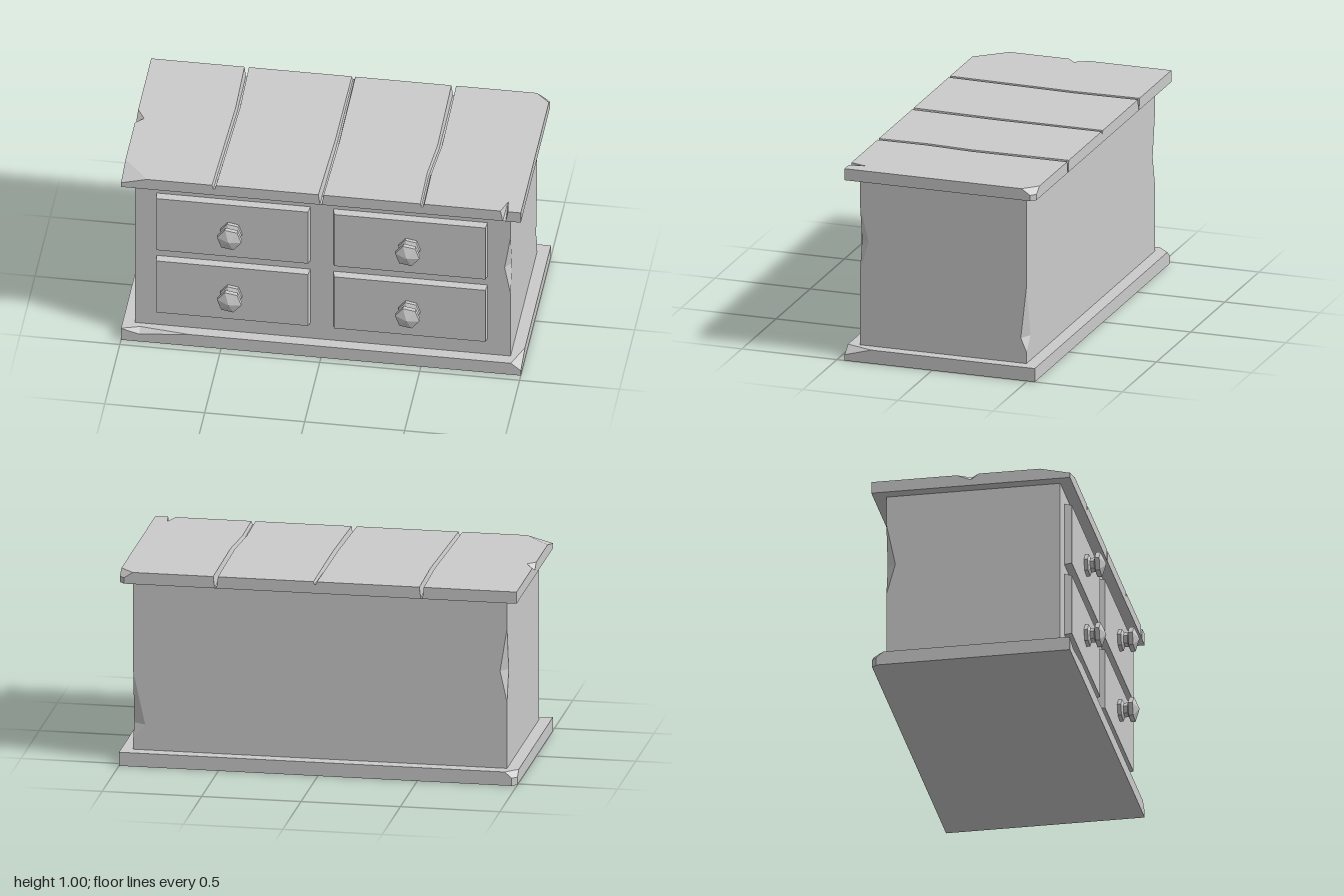
import * as THREE from 'three';

const material = new THREE.MeshStandardMaterial({ color: 0xcccccc, flatShading: true });
const V = (x, y, z) => new THREE.Vector3(x, y, z);

// Piecewise linear lookup in [[t, value], ...]; 0 outside the table unless hold is set
function key(table, t, hold = false) {
  const last = table.length - 1;
  if (t <= table[0][0]) return hold || t === table[0][0] ? table[0][1] : 0;
  if (t >= table[last][0]) return hold || t === table[last][0] ? table[last][1] : 0;
  const i = table.findIndex((k) => k[0] >= t);
  const [t0, a] = table[i - 1], [t1, b] = table[i];
  return a + (b - a) * (t - t0) / (t1 - t0);
}

// Closed solid through equal-length loops of 2D points; place(u, v, t) puts them in space
function loft(sections, place) {
  const loops = sections.map(({ t, pts }) => pts.map(([u, v]) => place(u, v, t)));
  const tris = [], n = loops[0].length;
  for (let s = 0; s < loops.length - 1; s++) {
    for (let i = 0; i < n; i++) {
      const j = (i + 1) % n;
      const a = loops[s][i], b = loops[s][j], c = loops[s + 1][j], d = loops[s + 1][i];
      tris.push([a, b, c], [a, c, d]);
    }
  }
  // End caps, wound to agree with the loop direction
  [0, loops.length - 1].forEach((s, end) => {
    const flat = sections[s].pts.map(([u, v]) => new THREE.Vector2(u, v));
    const loopSign = Math.sign(THREE.ShapeUtils.area(flat));
    for (const f of THREE.ShapeUtils.triangulateShape(flat, [])) {
      const sign = Math.sign(THREE.ShapeUtils.area(f.map((i) => flat[i])));
      const tri = f.map((i) => loops[s][i]);
      if ((sign === loopSign) === (end === 0)) tri.reverse();
      tris.push(tri);
    }
  });
  // Turn the whole solid outward if its volume is negative
  const volume = tris.reduce((sum, [a, b, c]) => sum + a.dot(b.clone().cross(c)), 0);
  if (volume < 0) tris.forEach((tri) => tri.reverse());
  const geometry = new THREE.BufferGeometry().setFromPoints(tris.flat());
  geometry.computeVertexNormals();
  return geometry;
}

// Slab profile with chipped upper corners [top inset, drop, side inset] and grooves in its top
function slabProfile(lo, hi, y0, y1, chipLo, chipHi, grooves = []) {
  const [lc, ld, ls] = chipLo, [hc, hd, hs] = chipHi;
  const pts = [[lo + ls, y0], [lo + ls, y1 - ld], [lo + lc, y1]];
  for (const { x, w, d } of grooves) {
    pts.push([x - w, y1], [x - w * 0.4, y1 - d], [x + w * 0.4, y1 - d], [x + w, y1]);
  }
  pts.push([hi - hc, y1], [hi - hs, y1 - hd], [hi - hs, y0]);
  return pts;
}

function topGeometry() {
  // Plank joints: x, half width and depth along z
  const grooves = [
    { x: [[-0.54, -0.522], [-0.2, -0.515], [0.46, -0.535]], w: [[-0.54, 0.011], [0.46, 0.01]],
      d: [[-0.54, 0.057], [-0.2, 0.03], [0.46, 0.022]] },
    { x: [[-0.54, 0.013], [0, 0.013], [0.46, 0]], w: [[-0.54, 0.009], [0.46, 0.013]],
      d: [[-0.54, 0.015], [0, 0.03], [0.46, 0.057]] },
    { x: [[-0.54, 0.514], [-0.04, 0.52], [0.2, 0.503], [0.46, 0.507]], w: [[-0.54, 0.012], [0.46, 0.01]],
      d: [[-0.54, 0.057], [0, 0.025], [0.46, 0.018]] },
    // Split at the front right
    { x: [[0.38, 0.925], [0.46, 0.917]], w: [[0.38, 0.001], [0.46, 0.019]], d: [[0.38, 0], [0.46, 0.058]] },
  ];
  const leftInset = [[-0.11, 0], [-0.04, 0.04], [0, 0], [0.31, 0], [0.46, 0.13]];
  const leftDrop = [[-0.11, 0], [-0.04, 0.03], [0, 0], [0.31, 0], [0.46, 0.035]];
  const rightInset = [[-0.54, 0.07], [-0.515, 0.045], [-0.47, 0]];
  const rightDrop = [[-0.54, 0.03], [-0.515, 0.03], [-0.47, 0]];
  const rightSide = [[-0.54, 0.025], [-0.515, 0]];
  const stations = [-0.54, -0.515, -0.47, -0.2, -0.11, -0.04, 0, 0.2, 0.31, 0.38, 0.46];
  const sections = stations.map((t) => ({
    t,
    pts: slabProfile(-1, 1, 0.94, 1,
      [key(leftInset, t), key(leftDrop, t), 0],
      [key(rightInset, t), key(rightDrop, t), key(rightSide, t)],
      grooves.map((g) => ({ x: key(g.x, t, true), w: key(g.w, t, true), d: key(g.d, t) }))),
  }));
  return loft(sections, (u, v, t) => V(u, v, t));
}

function baseGeometry() {
  // Chips [x, back corner, front corner]
  const none = [0, 0, 0];
  const stations = [
    [-1, [0.06, 0.03, 0.025], none],
    [-0.975, [0.035, 0.03, 0], [0.01, 0.007, 0]],
    [-0.94, none, [0.02, 0.017, 0]],
    [-0.91, none, [0.03, 0.025, 0]],
    [-0.66, none, none],
    [0.95, none, none],
    [1, none, [0.14, 0.04, 0]],
  ];
  const sections = stations.map(([t, back, front]) => ({
    t, pts: slabProfile(-0.54, 0.46, 0, 0.07, back, front),
  }));
  return loft(sections, (u, v, t) => V(t, v, u));
}

function bodyGeometry() {
  // Dents worn into three upright edges: [y, amount 0..1], largest cut in x and z
  const dents = {
    frontRight: { y: [[0.45, 0], [0.61, 1], [0.8, 0]], x: 0.03, z: 0.045 },
    backRight: { y: [[0.13, 0], [0.2, 1], [0.47, 0]], x: 0.06, z: 0.03 },
    backLeft: { y: [[0.41, 0], [0.57, 1], [0.79, 0]], x: 0.035, z: 0.045 },
  };
  const cut = (name, y) => [key(dents[name].y, y) * dents[name].x, key(dents[name].y, y) * dents[name].z];
  const W = 0.94, F = 0.4, B = -0.475;
  const levels = [0.06, 0.13, 0.2, 0.41, 0.45, 0.47, 0.57, 0.61, 0.79, 0.8, 0.95];
  const sections = levels.map((t) => {
    const [fx, fz] = cut('frontRight', t), [bx, bz] = cut('backRight', t), [lx, lz] = cut('backLeft', t);
    return { t, pts: [[-W, F], [W - fx, F], [W, F - fz], [W, B + bz], [W - bx, B], [-W + lx, B], [-W, B + lz]] };
  });
  return loft(sections, (u, v, t) => V(u, t, v));
}

// Drawer front with slightly sloping sides
function drawerGeometry(w, h) {
  const rect = (a, b) => [[-a, -b], [a, -b], [a, b], [-a, b]];
  return loft([
    { t: 0.395, pts: rect(w / 2, h / 2) },
    { t: 0.437, pts: rect(w / 2 - 0.007, h / 2 - 0.008) },
  ], (u, v, t) => V(u, v, t));
}

// Six-sided knob: foot, neck, head and pointed tip
function knobGeometry() {
  const profile = [[0, 0.43], [0.055, 0.43], [0.055, 0.455], [0.036, 0.464], [0.036, 0.484],
    [0.062, 0.492], [0.062, 0.515], [0, 0.54]].map(([r, z]) => new THREE.Vector2(r, z));
  return new THREE.LatheGeometry(profile, 6, Math.PI / 9).rotateX(Math.PI / 2);
}

export function createModel() {
  const model = new THREE.Group();
  model.name = 'chestOfDrawers';
  const add = (parent, name, geometry) => {
    const mesh = new THREE.Mesh(geometry, material);
    mesh.name = name;
    parent.add(mesh);
    return mesh;
  };
  add(model, 'base', baseGeometry());
  add(model, 'body', bodyGeometry());
  add(model, 'plankTop', topGeometry());

  const front = drawerGeometry(0.772, 0.332), knob = knobGeometry();
  for (const x of [-0.447, 0.44]) {
    for (const y of [0.329, 0.712]) {
      const drawer = new THREE.Group();
      drawer.name = 'drawer';
      drawer.position.set(x, y, 0);
      add(drawer, 'drawerFront', front);
      add(drawer, 'knob', knob).position.x = x < 0 ? -0.004 : 0;
      model.add(drawer);
    }
  }
  return model;
}
